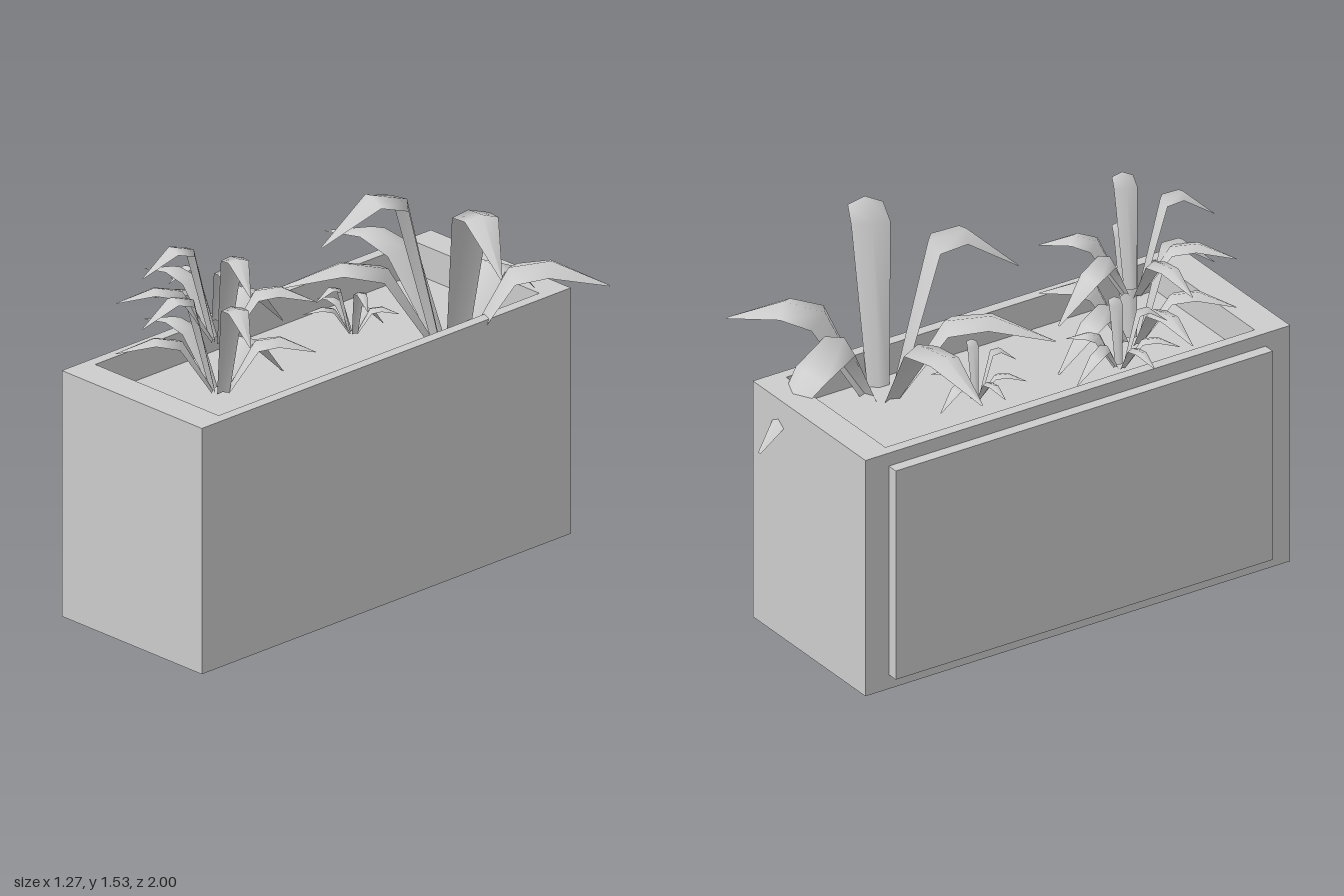
import * as THREE from 'three';

const concrete = new THREE.MeshStandardMaterial({ color: 0xcccccc });
concrete.name = 'pale grey';
concrete.side = THREE.DoubleSide;

const SOIL = 0.87; // height of the soil inside the trough

function box(name, x0, x1, y0, y1, z0, z1) {
  const mesh = new THREE.Mesh(new THREE.BoxGeometry(x1 - x0, y1 - y0, z1 - z0), concrete);
  mesh.position.set((x0 + x1) / 2, (y0 + y1) / 2, (z0 + z1) / 2);
  mesh.name = name;
  return mesh;
}

// Rectangle in plan; shape y is -z so the extrusion can be turned upright
function planRect(Type, x0, x1, z0, z1) {
  const p = new Type();
  p.moveTo(x0, -z1);
  p.lineTo(x1, -z1);
  p.lineTo(x1, -z0);
  p.lineTo(x0, -z0);
  p.closePath();
  return p;
}

// Leaf profiles: [fraction of reach, height, fraction of half width]
const PROFILES = {
  tall: [[0.07, 0.85, 0.55], [0.34, 1.49, 1], [0.62, 1.53, 0.9], [1, 1.35, 0.06]],
  low: [[0.07, 0.85, 0.4], [0.36, 1.185, 1], [0.63, 1.215, 0.85], [1, 1.12, 0.05]],
  drooping: [[0.05, 0.85, 0.5], [0.3, 1.16, 1], [0.62, 1.075, 0.95], [1, 0.8, 0.08]],
};

// Leaves of one plant: [profile, tip x, tip z, half width]
const CENTRE = [0.14, -0.43];
const LEAVES = [
  ['tall', 0.63, -0.22, 0.075],
  ['tall', -0.05, 0.06, 0.085],
  ['low', 0.57, -0.84, 0.105],
  ['low', -0.27, 0.08, 0.085],
  ['low', -0.54, -0.43, 0.075],
  ['drooping', 0.11, -1.0, 0.095],
];

// A folded leaf: each cross-section is edge, ridge, edge
function leafGeometry(profile, tipX, tipZ, halfWidth) {
  const dx = tipX - CENTRE[0], dz = tipZ - CENTRE[1];
  const reach = Math.hypot(dx, dz);
  const out = new THREE.Vector3(dx / reach, 0, dz / reach);
  const side = new THREE.Vector3(-out.z, 0, out.x);
  const up = new THREE.Vector3(0, 1, 0);
  const spine = PROFILES[profile].map(([t, y]) =>
    new THREE.Vector3(CENTRE[0] + dx * t, y, CENTRE[1] + dz * t));
  const positions = [], index = [];
  spine.forEach((p, i) => {
    const a = spine[Math.max(i - 1, 0)], b = spine[Math.min(i + 1, spine.length - 1)];
    const tangent = b.clone().sub(a).normalize();
    // Fold direction: perpendicular to the spine, on the lower inner side
    const fold = out.clone().multiplyScalar(tangent.dot(up))
      .addScaledVector(up, -tangent.dot(out));
    const w = halfWidth * PROFILES[profile][i][2];
    for (const s of [-1, 0, 1]) {
      const q = p.clone().addScaledVector(side, s * w);
      if (s) q.addScaledVector(fold, w * 0.38);
      positions.push(q.x, q.y, q.z);
    }
    if (i === 0) return;
    for (let k = 0; k < 2; k++) {
      const c = (i - 1) * 3 + k, d = c + 3;
      index.push(c, c + 1, d, c + 1, d + 1, d);
    }
  });
  const g = new THREE.BufferGeometry();
  g.setAttribute('position', new THREE.Float32BufferAttribute(positions, 3));
  // Wind so the upper face is the front
  for (let i = 0; i < index.length; i += 3) [index[i + 1], index[i + 2]] = [index[i + 2], index[i + 1]];
  g.setIndex(index);
  g.computeVertexNormals();
  return g;
}

export function createModel() {
  const model = new THREE.Group();
  model.name = 'planter';

  // Trough: solid lower body, raised rim around the soil
  model.add(box('troughBody', -0.47, 0.285, 0, SOIL, -0.91, 1));
  const rimShape = planRect(THREE.Shape, -0.47, 0.285, -0.91, 1);
  rimShape.holes.push(planRect(THREE.Path, -0.425, 0.24, -0.79, 0.87));
  const rim = new THREE.Mesh(
    new THREE.ExtrudeGeometry(rimShape, { depth: 1 - SOIL, bevelEnabled: false }), concrete);
  rim.rotation.x = -Math.PI / 2;
  rim.position.y = SOIL;
  rim.name = 'troughRim';
  model.add(rim);

  // Panel on one long side
  model.add(box('sidePanel', -0.517, -0.47, 0.06, 0.945, -0.805, 0.89));

  // Plants: one leaf set, repeated at several sizes
  const leaves = LEAVES.map((leaf) => leafGeometry(...leaf));
  const plants = [
    ['largePlant', 1, 0, 0, 0],
    ['mediumPlantLower', 0.6, -0.176, 0.392, 0.8],
    ['mediumPlantUpper', 0.6, -0.176, 0.597, 0.8],
    ['smallPlant', 0.346, -0.453, 0.72, 0.426],
    ['tinyPlant', 0.29, -0.178, 0.656, -0.065],
  ];
  for (const [name, scale, x, y, z] of plants) {
    const plant = new THREE.Group();
    plant.name = name;
    for (const g of leaves) {
      const leaf = new THREE.Mesh(g, concrete);
      leaf.name = 'leaf';
      plant.add(leaf);
    }
    plant.scale.setScalar(scale);
    plant.position.set(x, y, z);
    model.add(plant);
  }
  return model;
}
